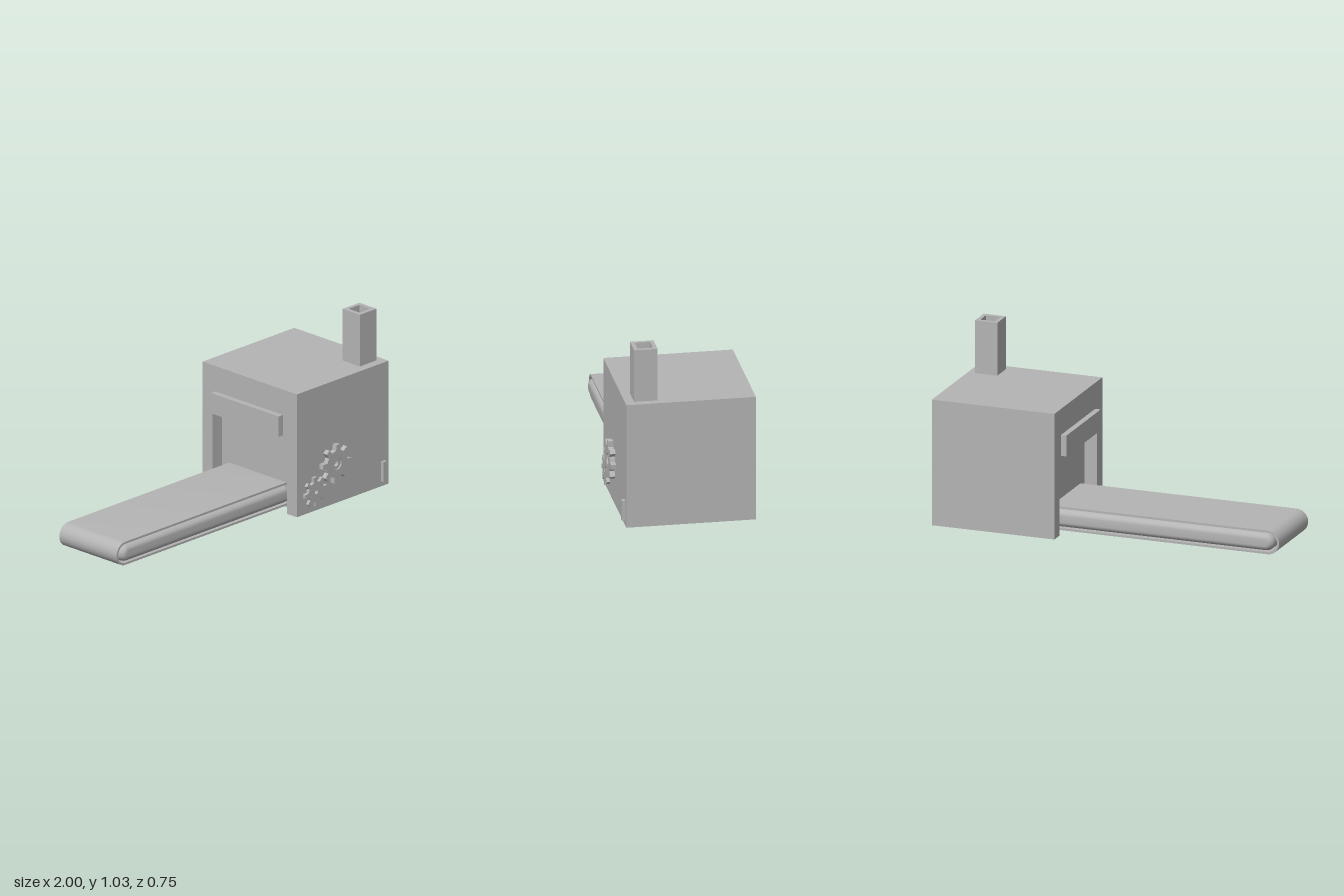
import * as THREE from 'three';
import { toCreasedNormals } from 'three/addons/utils/BufferGeometryUtils.js';

const grey = new THREE.MeshStandardMaterial({ color: 0xb4b4b4 });
grey.name = 'plainGrey';

// Box given by its minimum and maximum corners
function block(name, [x0, y0, z0], [x1, y1, z1]) {
  const mesh = new THREE.Mesh(new THREE.BoxGeometry(x1 - x0, y1 - y0, z1 - z0), grey);
  mesh.name = name;
  mesh.position.set((x0 + x1) / 2, (y0 + y1) / 2, (z0 + z1) / 2);
  return mesh;
}

function extrude(name, shape, options) {
  const geo = new THREE.ExtrudeGeometry(shape, { bevelEnabled: false, curveSegments: 20, ...options });
  const mesh = new THREE.Mesh(toCreasedNormals(geo, 0.6), grey);
  mesh.name = name;
  return mesh;
}

// Long loop with round ends
function stadium(x0, x1, y, r, Type = THREE.Shape) {
  const s = new Type();
  s.moveTo(x0 + r, y - r);
  s.lineTo(x1 - r, y - r);
  s.absarc(x1 - r, y, r, -Math.PI / 2, Math.PI / 2, false);
  s.lineTo(x0 + r, y + r);
  s.absarc(x0 + r, y, r, Math.PI / 2, Math.PI * 1.5, false);
  return s;
}

function circleHole(r) {
  return new THREE.Path().absarc(0, 0, r, 0, Math.PI * 2, true);
}

// Eight-toothed wheel with a round bore
function gear(name, root, tip, bore, depth, turn) {
  const s = new THREE.Shape();
  const teeth = 8, pitch = (Math.PI * 2) / teeth;
  for (let i = 0; i < teeth; i++) {
    [[-0.27, root], [-0.16, tip], [0.16, tip], [0.27, root], [0.5, root]].forEach(([f, r], k) => {
      const a = turn + (i + f) * pitch;
      const x = Math.cos(a) * r, y = Math.sin(a) * r;
      if (i === 0 && k === 0) s.moveTo(x, y);
      else s.lineTo(x, y);
    });
  }
  s.closePath();
  s.holes.push(circleHole(bore));
  return extrude(name, s, { depth });
}

export function createModel() {
  const model = new THREE.Group();
  model.name = 'conveyorMachine';
  const front = 0.348, back = -0.377, top = 0.725, wallX = 0.35;

  // Housing: solid block plus a front frame with the doorway cut out
  model.add(block('housing', [wallX, 0, back], [1, top, front]));
  const frame = new THREE.Shape();
  [[back, 0], [-0.3, 0], [-0.3, 0.495], [0.27, 0.495], [0.27, 0], [front, 0], [front, top], [back, top]]
    .forEach(([z, y], i) => (i ? frame.lineTo(z, y) : frame.moveTo(z, y)));
  const doorway = extrude('doorwayFrame', frame, { depth: 0.075 });
  doorway.rotation.y = -Math.PI / 2;
  doorway.position.x = wallX;
  model.add(doorway);
  model.add(block('doorLintel', [0.242, 0.455, -0.28], [0.275, 0.575, 0.24]));

  // Chimney: square tube
  const half = 0.066, inner = 0.043;
  const square = (Type, h) => {
    const p = new Type();
    p.moveTo(-h, -h).lineTo(h, -h).lineTo(h, h).lineTo(-h, h).closePath();
    return p;
  };
  const flue = square(THREE.Shape, half);
  flue.holes.push(square(THREE.Path, inner));
  const chimney = extrude('chimney', flue, { depth: 1.03 - top });
  chimney.rotation.x = -Math.PI / 2;
  chimney.position.set(0.891, top, 0.231);
  model.add(chimney);

  // Conveyor: belt loop around a rounded core that bulges past its sides
  const beltY = 0.08, midZ = -0.018;
  const loop = stadium(-1, 0.4, beltY, 0.068);
  loop.holes.push(stadium(-0.988, 0.388, beltY, 0.056, THREE.Path));
  const belt = extrude('conveyorBelt', loop, { depth: 0.44 });
  belt.position.z = midZ - 0.22;
  model.add(belt);
  const core = extrude('conveyorCore', stadium(-0.935, 0.34, beltY, 0.018), {
    depth: 0.38, bevelEnabled: true, bevelSize: 0.034, bevelThickness: 0.045, bevelSegments: 8,
  });
  core.position.z = midZ - 0.19;
  model.add(core);

  // Meshing gears on the front
  const large = new THREE.Group();
  large.name = 'largeGear';
  large.add(gear('largeGearWheel', 0.08, 0.113, 0.034, 0.029, -0.08));
  const hubShape = new THREE.Shape().absarc(0, 0, 0.034, 0, Math.PI * 2, false);
  hubShape.holes.push(circleHole(0.017));
  large.add(extrude('largeGearHub', hubShape, { depth: 0.02 }));
  large.position.set(0.565, 0.243, front);
  model.add(large);
  const small = gear('smallGear', 0.06, 0.088, 0.013, 0.019, 0.1);
  small.position.set(0.41, 0.118, front);
  model.add(small);

  // Lever plate
  model.add(block('leverPlate', [0.938, 0.03, front], [0.966, 0.147, 0.367]));
  return model;
}
